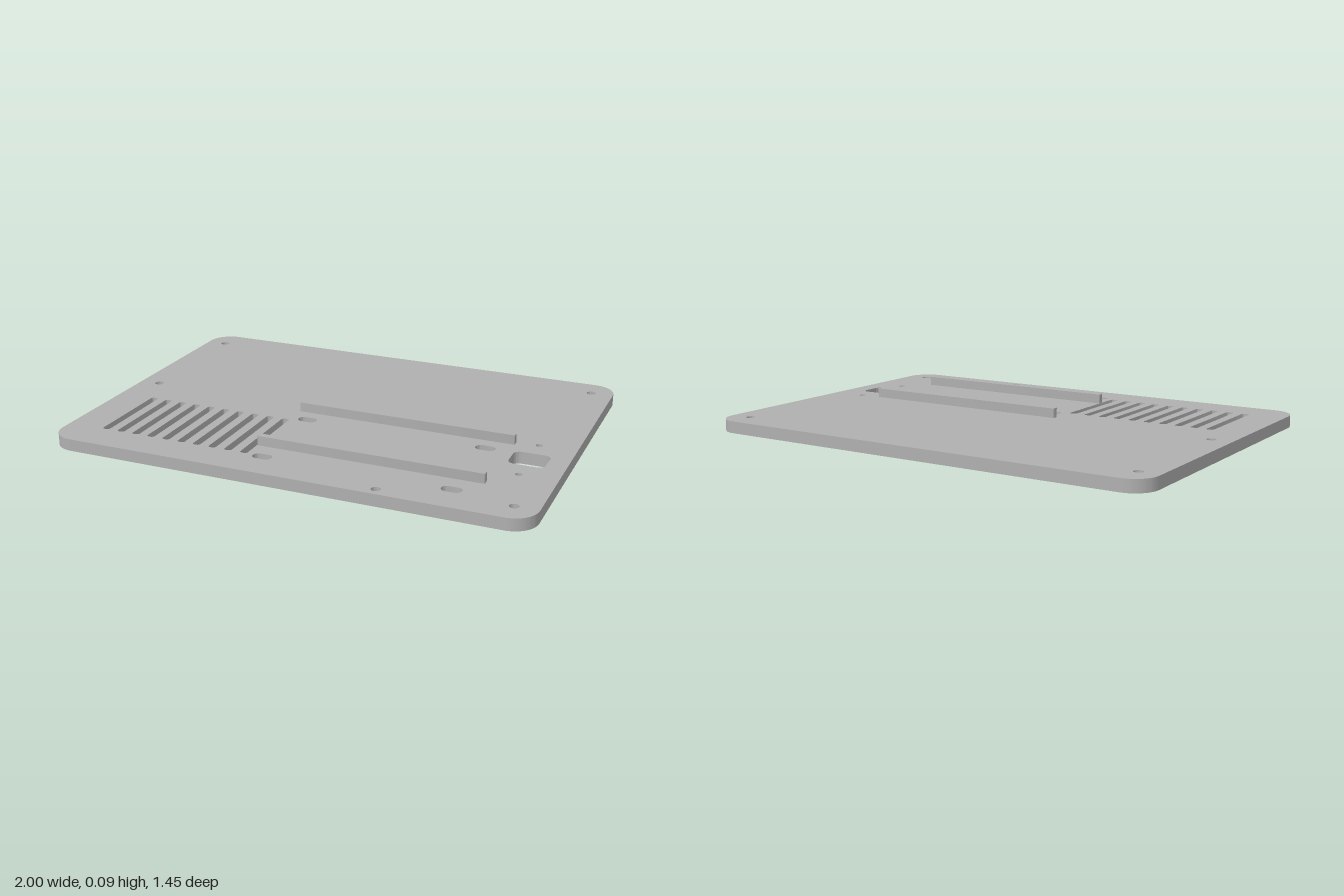
import * as THREE from 'three';
import { toCreasedNormals } from 'three/addons/utils/BufferGeometryUtils.js';

const THICK = 0.05;

// Rounded rectangle in plan: centre (x, z), size w by d, corner radius r
function roundedRect(path, x, z, w, d, r) {
  const a = w / 2 - r, b = d / 2 - r;
  path.moveTo(x - a, z - d / 2);
  path.lineTo(x + a, z - d / 2);
  path.absarc(x + a, z - b, r, -Math.PI / 2, 0, false);
  path.lineTo(x + w / 2, z + b);
  path.absarc(x + a, z + b, r, 0, Math.PI / 2, false);
  path.lineTo(x - a, z + d / 2);
  path.absarc(x - a, z + b, r, Math.PI / 2, Math.PI, false);
  path.lineTo(x - w / 2, z - b);
  path.absarc(x - a, z - b, r, Math.PI, Math.PI * 1.5, false);
  return path;
}

// Extrude a plan outline upward from y = bottom
function slab(shape, bottom, height) {
  const g = new THREE.ExtrudeGeometry(shape, { depth: height, bevelEnabled: false, curveSegments: 10 });
  g.rotateX(Math.PI / 2);
  g.translate(0, bottom + height, 0);
  return toCreasedNormals(g, 0.6);
}

export function createModel() {
  const group = new THREE.Group();
  group.name = 'mountingPlate';
  const grey = new THREE.MeshStandardMaterial({ color: 0xb0b0b0 });
  grey.name = 'grey';

  const outline = roundedRect(new THREE.Shape(), 0, 0, 2, 1.45, 0.1);
  const cut = (...args) => outline.holes.push(roundedRect(new THREE.Path(), ...args));
  const drill = (x, z, r) => {
    const p = new THREE.Path();
    p.absarc(x, z, r, 0, Math.PI * 2, false);
    outline.holes.push(p);
  };

  // Row of ventilation slots
  for (let i = 0; i < 10; i++) cut(-0.829 + i * 0.0701, 0.38, 0.032, 0.39, 0.012);

  // Four oblong strap holes
  for (const x of [-0.112, 0.658]) for (const z of [0.16, 0.578]) cut(x, z, 0.08, 0.047, 0.022);

  // Connector window with its two small screw holes
  cut(0.847, 0.203, 0.146, 0.123, 0.028);
  drill(0.847, 0.053, 0.014);
  drill(0.847, 0.353, 0.014);

  // Mounting screw holes
  for (const [x, z] of [[-0.912, -0.607], [0.906, -0.616], [-0.912, 0.015], [0.906, 0.624], [0.403, 0.683]]) {
    drill(x, z, 0.019);
  }

  const plate = new THREE.Mesh(slab(outline, 0, THICK), grey);
  plate.name = 'basePlate';
  group.add(plate);

  // Two raised guide rails
  for (const [name, z] of [['rearRail', 0.07], ['frontRail', 0.471]]) {
    const shape = roundedRect(new THREE.Shape(), 0.287, z, 0.936, 0.028, 0.004);
    const rail = new THREE.Mesh(slab(shape, THICK, 0.04), grey);
    rail.name = name;
    group.add(rail);
  }
  return group;
}
